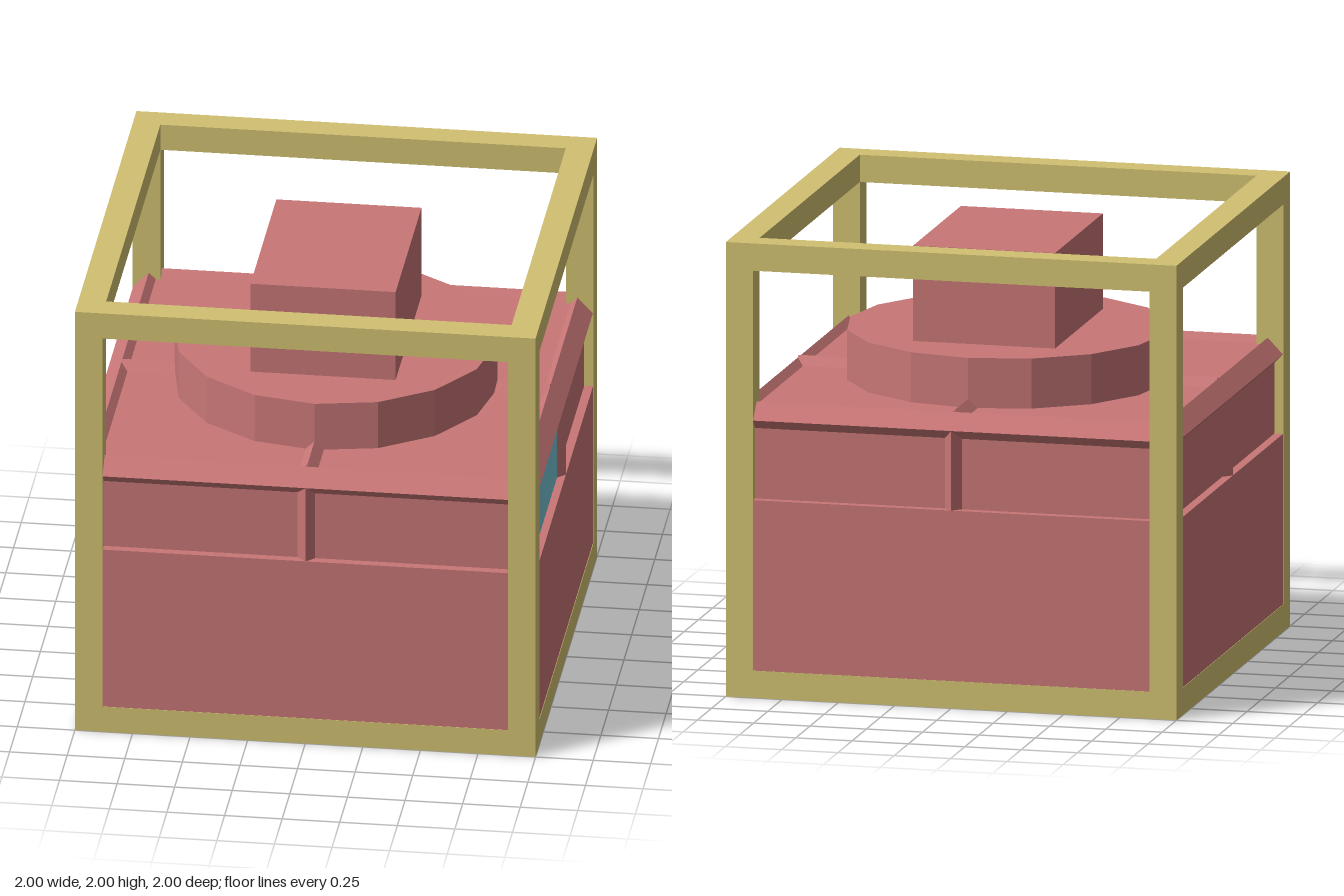
import * as THREE from 'three';

export function createModel() {
  const model = new THREE.Group();
  const mat = (name, color) => {
    const m = new THREE.MeshStandardMaterial({ color, flatShading: true });
    m.name = name;
    return m;
  };
  const pink = mat('dusty pink', 0xc87676);
  const yellow = mat('straw yellow', 0xd2c172);
  const blue = mat('sky blue', 0x78c3d2);

  const add = (name, geometry, material, x = 0, y = 0, z = 0, parent = model) => {
    const mesh = new THREE.Mesh(geometry, material);
    mesh.name = name;
    mesh.position.set(x, y, z);
    parent.add(mesh);
    return mesh;
  };
  const box = (w, h, d) => new THREE.BoxGeometry(w, h, d);

  // Cube frame: four bars along each axis, butted at the corners
  const frame = new THREE.Group();
  frame.name = 'frame';
  model.add(frame);
  const t = 0.12, c = 1 - t / 2, inner = 2 - 2 * t;
  for (const a of [-c, c]) {
    for (const b of [-c, c]) {
      add('post', box(t, 2, t), yellow, a, 1, b, frame);
      add('sideRail', box(t, t, inner), yellow, a, 1 + b, 0, frame);
      add('crossRail', box(inner, t, t), yellow, 0, 1 + a, b, frame);
    }
  }

  // Square body with a ledge, recessed band, bevelled rim and sunken deck
  const profile = [
    [0, 0.002], [0.998, 0.002], [0.998, 0.87], [0.96, 0.87], [0.96, 1.18],
    [0.998, 1.22], [0.93, 1.29], [0.90, 1.26], [0, 1.26],
  ].map(([half, y]) => new THREE.Vector2(half * Math.SQRT2, y));
  add('body', new THREE.LatheGeometry(profile, 4, Math.PI / 4), pink);

  // Raised ribs up the middle of each side and across the deck
  for (let i = 0; i < 4; i++) {
    const side = new THREE.Group();
    side.name = 'sideRibs';
    side.rotation.y = i * Math.PI / 2;
    model.add(side);
    add('wallRib', new THREE.CylinderGeometry(0.04, 0.04, 0.35, 4), pink, 0, 1.045, 0.958, side);
    const rib = add('deckRib', new THREE.CylinderGeometry(0.04, 0.04, 0.27, 4), pink, 0, 1.26, 0.795, side);
    rib.rotation.x = Math.PI / 2;
  }

  // Coloured panel on the front half of the left side
  add('sidePanel', box(0.008, 0.31, 0.92), blue, 0.96, 1.025, 0.5);

  // Turntable and block on top
  add('turntable', new THREE.CylinderGeometry(0.7, 0.7, 0.22, 16), pink, 0, 1.37, 0);
  add('topBlock', box(0.63, 0.43, 0.84), pink, 0, 1.685, 0);

  return model;
}
